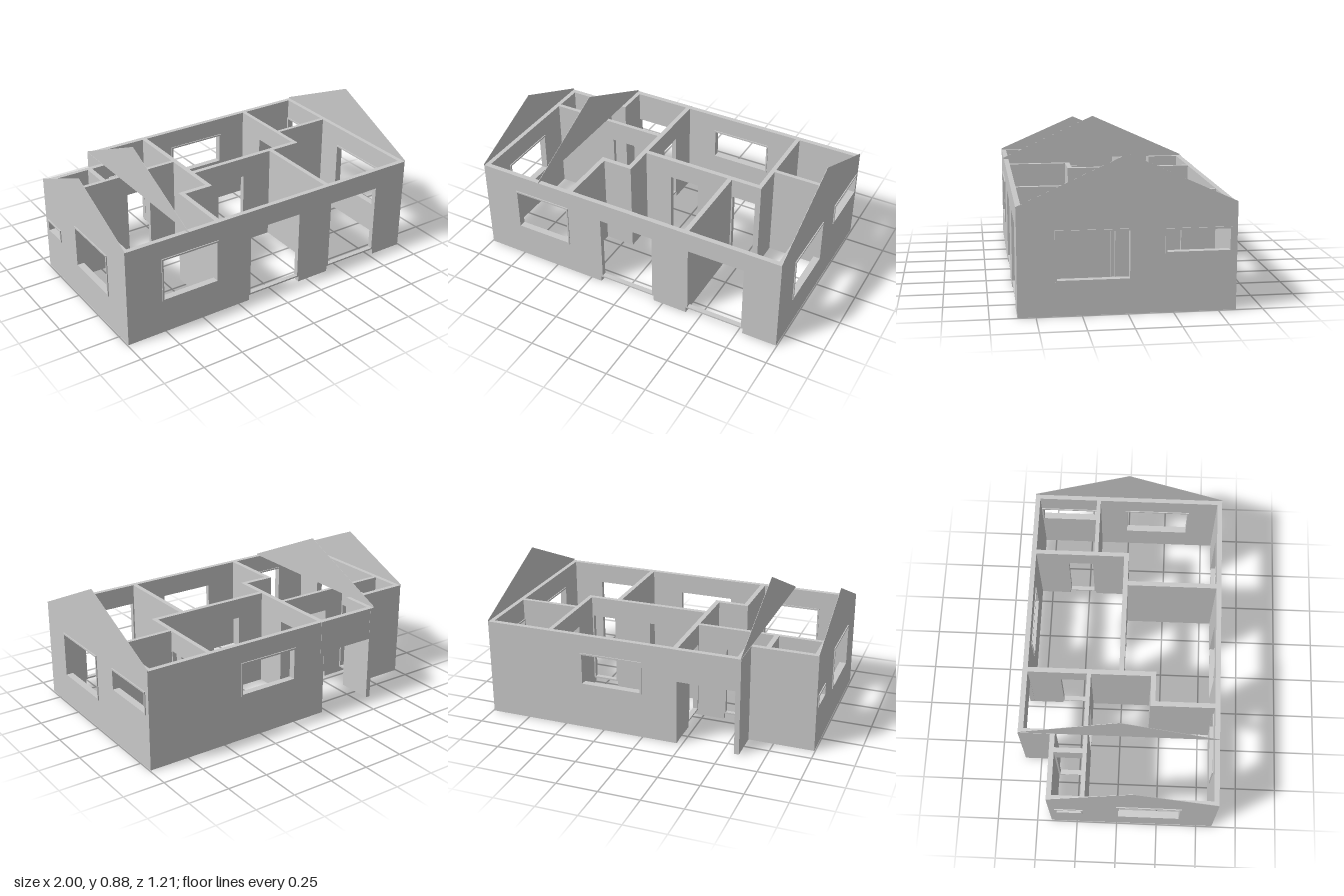
import * as THREE from 'three';

const HEIGHT = 0.6;
const RIM = 0.01; // width of window and door linings

const corners = (a0, a1, y0, y1) => [[a0, y0], [a1, y0], [a1, y1], [a0, y1]]
  .map(([a, y]) => new THREE.Vector2(a, y));
const rectShape = (...r) => new THREE.Shape(corners(...r));
const rectHole = (...r) => new THREE.Path(corners(...r).reverse());

export function createModel() {
  const house = new THREE.Group();
  house.name = 'houseShell';
  const plaster = new THREE.MeshStandardMaterial({ color: 0xc8c8c8 });
  plaster.name = 'greyPlaster';

  // Extrude an upright slab running along x or z, between c0 and c1 across
  function slab(name, shape, axis, c0, c1) {
    const geo = new THREE.ExtrudeGeometry(shape, { depth: c1 - c0, bevelEnabled: false });
    const mesh = new THREE.Mesh(geo, plaster);
    mesh.name = name;
    if (axis === 'x') mesh.position.z = c0;
    else {
      mesh.rotation.y = -Math.PI / 2;
      mesh.position.x = c1;
    }
    return mesh;
  }

  // Lining ring around an opening
  function lining(name, axis, [a0, a1, y0, y1], c0, c1) {
    const shape = rectShape(a0, a1, y0, y1);
    shape.holes.push(rectHole(a0 + RIM, a1 - RIM, y0 + RIM, y1 - RIM));
    return slab(name, shape, axis, c0, c1);
  }

  // Wall with doors [a0, a1, top] cut down to the ground and windows [a0, a1, y0, y1]
  function wall(name, axis, a0, a1, c0, c1, { doors = [], windows = [] } = {}) {
    const group = new THREE.Group();
    group.name = name;
    const shape = new THREE.Shape();
    shape.moveTo(a0, 0);
    for (const [d0, d1, top = 0.485] of doors) {
      shape.lineTo(d0, 0);
      shape.lineTo(d0, top);
      shape.lineTo(d1, top);
      shape.lineTo(d1, 0);
      group.add(lining('doorFrame', axis, [d0, d1, 0.035, top], c0, c1));
    }
    shape.lineTo(a1, 0);
    shape.lineTo(a1, HEIGHT);
    shape.lineTo(a0, HEIGHT);
    for (const w of windows) {
      shape.holes.push(rectHole(...w));
      group.add(lining('windowFrame', axis, w, c0 - 0.006, c1 + 0.006));
    }
    group.add(slab('wallPanel', shape, axis, c0, c1));
    house.add(group);
  }

  // Outer walls
  wall('frontWall', 'x', -0.994, 0.994, 0.57, 0.6, {
    doors: [[-0.178, 0.19], [0.408, 0.78]],
    windows: [[-0.768, -0.394, 0.21, 0.485]],
  });
  wall('backWall', 'x', -0.215, 0.994, -0.6, -0.57, { windows: [[0.002, 0.39, 0.28, 0.487]] });
  wall('leftSideWall', 'z', -0.6, 0.6, 0.964, 0.994, {
    windows: [[-0.57, -0.203, 0.33, 0.47], [-0.02, 0.395, 0.19, 0.475]],
  });
  wall('rightSideWall', 'z', -0.41, 0.6, -0.994, -0.964, {
    windows: [[-0.375, -0.205, 0.265, 0.345], [0, 0.39, 0.21, 0.478]],
  });
  wall('recessedBackWall', 'x', -0.994, -0.57, -0.41, -0.38);
  wall('porchSideWall', 'z', -0.603, -0.38, -0.598, -0.568);

  // Beam over the open porch
  house.add(slab('porchLintel', rectShape(-0.598, -0.19, 0.4, HEIGHT), 'x', -0.602, -0.57));

  // Inner walls
  wall('bathWall', 'z', -0.4, -0.19, -0.708, -0.678, { doors: [[-0.38, -0.21]] });
  wall('entryWall', 'x', -0.98, -0.19, -0.21, -0.185, { doors: [[-0.556, -0.38, 0.475]] });
  wall('middleWall', 'z', -0.598, 0.21, -0.213, -0.183, { doors: [[-0.385, -0.21]] });
  wall('nookBackWall', 'x', -0.4, -0.183, 0.18, 0.21);
  wall('nookSideWall', 'z', 0.18, 0.58, -0.4, -0.37);
  wall('hallWall', 'x', -0.2, 0.602, -0.015, 0.015, { doors: [[-0.018, 0.19], [0.408, 0.577]] });
  wall('bedroomWall', 'z', 0, 0.58, 0.38, 0.409);
  wall('washroomWall', 'z', -0.58, 0, 0.575, 0.602, { doors: [[-0.38, -0.205]] });
  wall('washroomFrontWall', 'x', 0.59, 0.97, -0.205, -0.18);

  // Thin roof gables
  function gable(name, x, z0, z1, peak) {
    const shape = new THREE.Shape([
      [z0, HEIGHT], [z1, HEIGHT], [z1, 0.608], [(z0 + z1) / 2, peak], [z0, 0.608],
    ].map(([z, y]) => new THREE.Vector2(z, y)));
    house.add(slab(name, shape, 'z', x - 0.001, x + 0.001));
  }
  gable('leftGable', 0.993, -0.6, 0.602, 0.88);
  gable('middleGable', -0.595, -0.6, 0.602, 0.88);
  gable('rightGable', -0.993, -0.41, 0.602, 0.828);

  return house;
}
